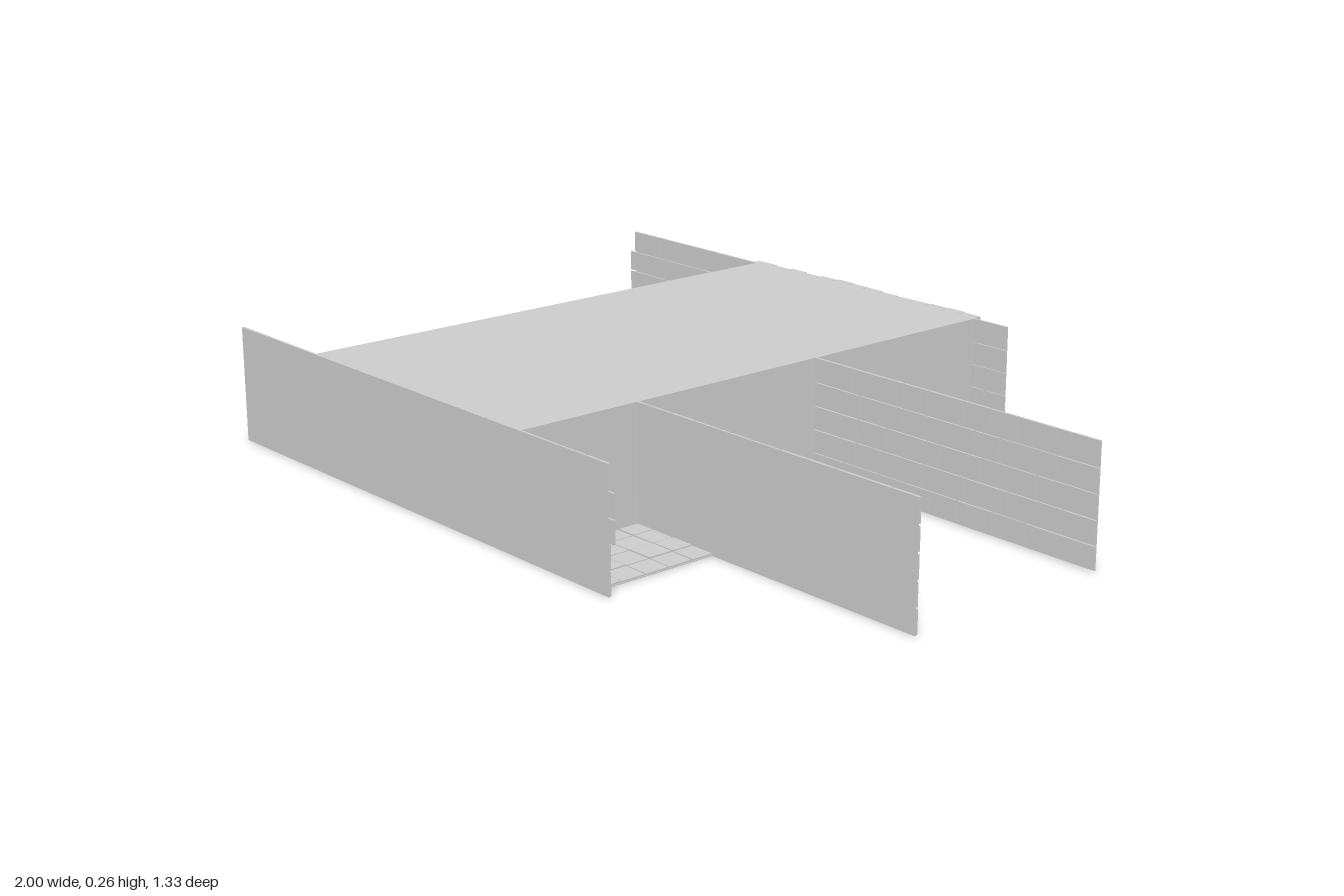
import * as THREE from 'three';
import { mergeGeometries } from 'three/addons/utils/BufferGeometryUtils.js';

const H = 0.265, ROWS = 5;
const material = new THREE.MeshStandardMaterial({ color: 0xcccccc, flatShading: true, side: THREE.DoubleSide });

let seed = 7;
const rand = () => (seed = (seed * 16807) % 2147483647) / 2147483647;

// Box given by its limits on each axis
function block(x0, x1, y0, y1, z0, z1) {
  const g = new THREE.BoxGeometry(x1 - x0, y1 - y0, z1 - z0);
  return g.translate((x0 + x1) / 2, (y0 + y1) / 2, (z0 + z1) / 2);
}

function part(name, geometries) {
  const mesh = new THREE.Mesh(mergeGeometries(geometries), material);
  mesh.name = name;
  return mesh;
}

// Plain slab with irregular brick courses on the side given by dir (+1 or -1 along z)
function brickWall(name, x0, x1, z, dir, jagStart = 0, jagEnd = 0) {
  const group = new THREE.Group();
  group.name = name;
  group.add(part(name + 'Backing', [block(x0, x1, 0, H, z - 0.001, z + 0.001)]));
  const bricks = [], h = H / ROWS, gap = 0.002;
  for (let r = 0; r < ROWS; r++) {
    const out = r === 2 || r === 3;
    const end = x1 + (out ? jagEnd : 0);
    let x = x0 - (out ? jagStart : 0);
    while (x < end - 0.01) {
      let next = x + 0.065 + rand() * 0.09;
      if (end - next < 0.05) next = end;
      const face = z + dir * (0.004 + rand() * 0.002);
      bricks.push(block(x + (x > x0 ? gap : 0), next - (next < end ? gap : 0), r * h + gap, (r + 1) * h - (r < ROWS - 1 ? gap : 0),
        Math.min(z, face), Math.max(z, face)));
      x = next;
    }
  }
  group.add(part(name + 'Bricks', bricks));
  return group;
}

// Pointed arch outline, base on y = 0
function pointedArch(Type, w, spring, top) {
  const p = new Type();
  p.moveTo(-w, 0);
  p.lineTo(-w, spring);
  p.quadraticCurveTo(-w, spring + (top - spring) * 0.65, 0, top);
  p.quadraticCurveTo(w, spring + (top - spring) * 0.65, w, spring);
  p.lineTo(w, 0);
  p.closePath();
  return p;
}

function createFloor() {
  const group = new THREE.Group();
  group.name = 'floor';
  group.add(part('floorBase', [block(-0.64, 0.45, 0, 0.002, -0.645, 0.66)]));
  const tiles = [], nx = 18, nz = 22, sx = 1.09 / nx, sz = 1.305 / nz, g = 0.0015;
  for (let i = 0; i < nx; i++) {
    for (let j = 0; j < nz; j++) {
      const x = -0.64 + i * sx, z = -0.645 + j * sz;
      // some tiles of the last row stick out
      const jag = j === 0 && [2, 3, 5, 6, 8, 11, 15, 17].includes(i) ? 0.017 : 0;
      tiles.push(block(x + g, x + sx - g, 0.001, 0.005 + rand() * 0.002, z + g - jag, z + sz - g));
    }
  }
  group.add(part('floorTiles', tiles));
  return group;
}

function createDoor() {
  const group = new THREE.Group();
  group.name = 'door';
  const extrude = (shape, depth) => new THREE.ExtrudeGeometry(shape, { depth, bevelEnabled: false, curveSegments: 8 });
  // nested stone frames, the inner one shallower
  [[0.08, 0.062, 0.215, 0.192, 0.022], [0.058, 0.048, 0.187, 0.172, 0.012]].forEach(([wo, wi, to, ti, d], i) => {
    const frame = pointedArch(THREE.Shape, wo, 0.1, to);
    frame.holes.push(pointedArch(THREE.Path, wi, 0.1, ti).translate ? null : pointedArch(THREE.Path, wi, 0.1, ti));
    // the opening starts just above the sill
    frame.holes = [new THREE.Path(pointedArch(THREE.Path, wi, 0.1, ti).getPoints(8).map(p => new THREE.Vector2(p.x, Math.max(p.y, 0.006))))];
    group.add(part(i ? 'innerFrame' : 'outerFrame', [extrude(frame, d)]));
  });
  group.add(part('doorLeaf', [extrude(pointedArch(THREE.Shape, 0.05, 0.1, 0.174), 0.004)]));
  // planks battens and ring handle
  group.add(part('doorFittings', [
    block(-0.002, 0.002, 0.006, 0.165, 0, 0.008),
    block(-0.046, 0.046, 0.04, 0.048, 0, 0.007),
    block(-0.046, 0.046, 0.105, 0.113, 0, 0.007),
    new THREE.TorusGeometry(0.007, 0.0015, 6, 12).translate(0.014, 0.08, 0.008)
  ]));
  // raised stones along the jambs
  const stones = [];
  for (const s of [-1, 1]) {
    for (let k = 0; k < 4; k++) {
      const a = s * 0.063, b = s * (k % 2 ? 0.082 : 0.09);
      stones.push(block(Math.min(a, b), Math.max(a, b), 0.004 + k * 0.026, 0.028 + k * 0.026, 0, 0.025));
    }
  }
  group.add(part('jambStones', stones));
  group.rotation.y = Math.PI;
  group.position.set(-0.3, 0.005, -0.628);
  return group;
}

export function createModel() {
  const model = new THREE.Group();
  model.name = 'stoneHall';
  model.add(createFloor());
  model.add(part('roof', [block(-0.51, 0.22, H - 0.003, H, -0.63, 0.66)]));
  model.add(part('rightSideWall', [block(-0.511, -0.508, 0, H, -0.628, 0.66)]));
  model.add(part('leftSideWall', [block(0.218, 0.221, 0, H, -0.628, 0.66)]));

  // long walls and corridor walls, bricks facing inward
  model.add(brickWall('frontWall', -0.81, 0.49, 0.664, -1, 0, 0.014));
  model.add(brickWall('backWall', -0.983, 0.32, -0.628, 1, 0.017, 0));
  model.add(brickWall('corridorFrontWall', 0.22, 1, 0.37, -1));
  model.add(brickWall('corridorBackWall', 0.22, 1, -0.13, 1));

  // stone strips on the rear face
  const quoins = [];
  for (const x of [0.12, -0.095, -0.515]) {
    for (let k = 0; k < 8; k++) {
      const w = k % 2 ? 0.008 : 0.014, dx = (rand() - 0.5) * 0.006, h = H / 8;
      const d = 0.018 + (k === 3 || k === 4 ? 0.014 : rand() * 0.008);
      quoins.push(block(x - w + dx, x + w + dx, k * h + 0.001, (k + 1) * h - 0.001, -0.628 - d, -0.628));
    }
  }
  model.add(part('rearStoneStrips', quoins));

  // uneven cornice along the top of the rear face
  const cornice = [];
  for (let i = 0; i < 14; i++) {
    const x = -0.51 + i * 0.0521;
    cornice.push(block(x + 0.001, x + 0.051, H - 0.012 - rand() * 0.008, H, -0.64 - rand() * 0.018, -0.628));
  }
  model.add(part('rearCornice', cornice));
  model.add(createDoor());
  return model;
}
